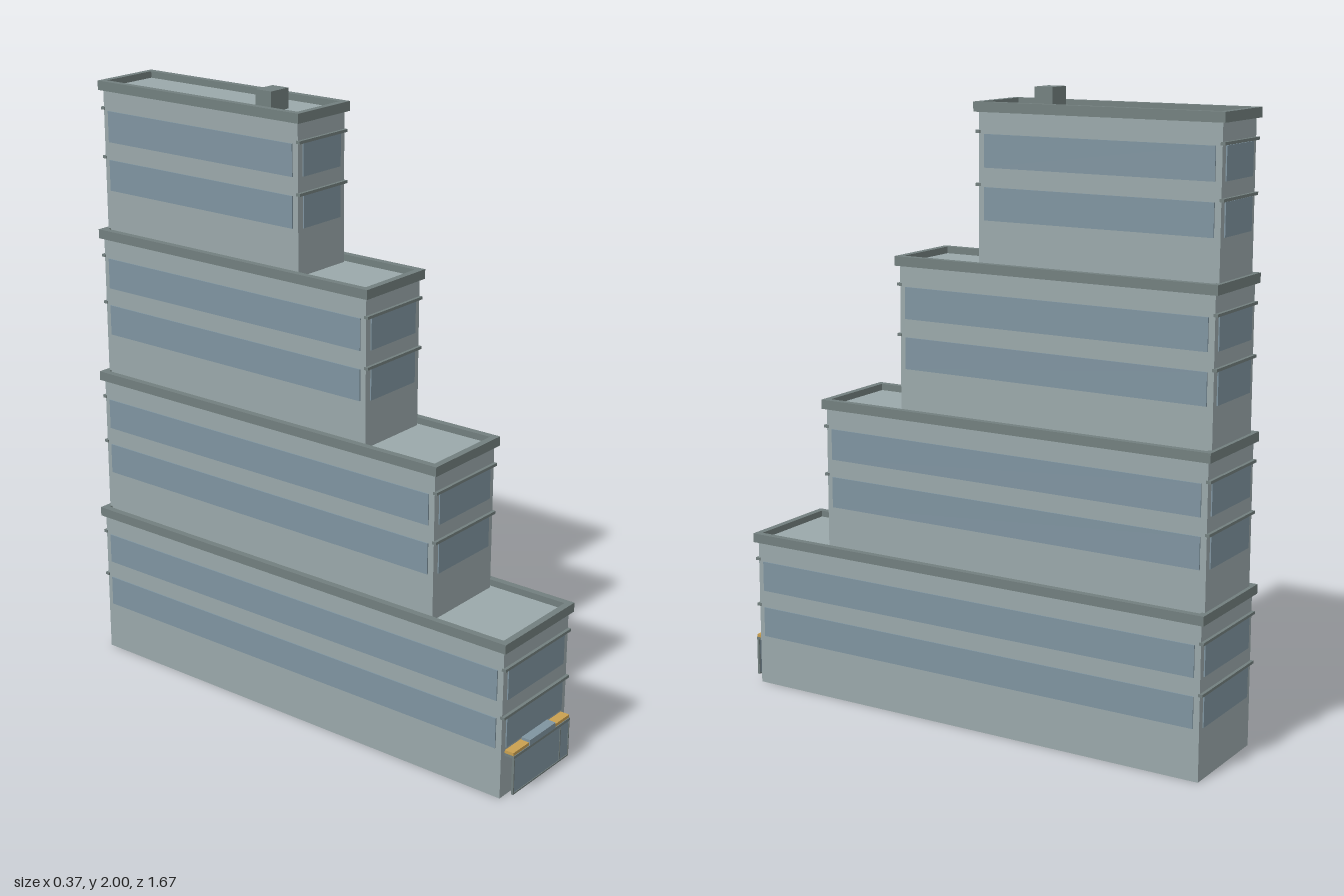
import * as THREE from 'three';

export function createModel() {
  const model = new THREE.Group();
  const mat = (color) => new THREE.MeshStandardMaterial({ color });
  const wall = mat(0x9aa8aa), trim = mat(0x727f7e), glass = mat(0x7f94a0), amber = mat(0xc9a050);

  // box given by its lower and upper limits on each axis
  const box = (parent, name, material, [x0, x1], [y0, y1], [z0, z1]) => {
    const mesh = new THREE.Mesh(new THREE.BoxGeometry(x1 - x0, y1 - y0, z1 - z0), material);
    mesh.position.set((x0 + x1) / 2, (y0 + y1) / 2, (z0 + z1) / 2);
    mesh.name = name;
    parent.add(mesh);
  };

  // open rectangular rim around a roof
  const parapet = (parent, hw, y0, y1, z0, z1, t) => {
    const s = new THREE.Shape();
    s.moveTo(-hw, -z1).lineTo(hw, -z1).lineTo(hw, -z0).lineTo(-hw, -z0).closePath();
    const h = new THREE.Path();
    h.moveTo(-hw + t, -z1 + t).lineTo(-hw + t, -z0 - t).lineTo(hw - t, -z0 - t).lineTo(hw - t, -z1 + t).closePath();
    s.holes.push(h);
    const geo = new THREE.ExtrudeGeometry(s, { depth: y1 - y0, bevelEnabled: false });
    const mesh = new THREE.Mesh(geo.rotateX(-Math.PI / 2), trim);
    mesh.position.y = y0;
    mesh.name = 'parapet';
    parent.add(mesh);
  };

  // four stepped tiers sharing one back wall
  const back = -0.823, pitch = 0.48;
  for (let i = 0; i < 4; i++) {
    const tier = new THREE.Group();
    tier.name = 'tier' + (i + 1);
    model.add(tier);
    const hw = 0.173 - 0.021 * i, front = 0.802 - 0.275 * i, y = pitch * i;
    box(tier, 'walls', wall, [-hw, hw], [i ? y + 0.015 : 0, y + 0.497], [back, front]);
    parapet(tier, hw + 0.012, y + 0.488, y + 0.518, back - 0.012, front + 0.012, 0.022);

    // two storeys of ribbon windows
    for (const w of [y + 0.165, y + 0.323]) {
      const rows = [w, w + 0.1];
      for (const s of [-1, 1]) {
        const xs = [s * (hw - 0.01), s * (hw + 0.004)].sort((a, b) => a - b);
        box(tier, 'sideWindow', glass, xs, rows, [back + 0.02, front - 0.02]);
      }
      const ww = hw - 0.022;
      box(tier, 'frontWindow', glass, [-ww, ww], rows, [front - 0.01, front + 0.004]);
      box(tier, 'backWindow', glass, [-ww, ww], rows, [back - 0.004, back + 0.01]);
      // thin ledges over the end windows
      const ledge = [w + 0.102, w + 0.111];
      box(tier, 'frontLedge', trim, [-hw - 0.003, hw + 0.003], ledge, [front - 0.005, front + 0.01]);
      box(tier, 'backLedge', trim, [-hw - 0.003, hw + 0.003], ledge, [back - 0.01, back + 0.005]);
    }
  }

  // rooftop housing
  box(model, 'roofUnit', trim, [-0.08, 0], [1.935, 2], [-0.212, -0.15]);

  // entrance: glazed screen standing ahead of the wall under a canopy
  const entrance = new THREE.Group();
  entrance.name = 'entrance';
  model.add(entrance);
  box(entrance, 'shopfrontGlass', glass, [-0.148, 0.148], [0.018, 0.138], [0.829, 0.834]);
  for (const x of [-0.152, 0.1, 0.148])
    box(entrance, 'mullion', trim, [x, x + 0.004], [0.015, 0.138], [0.828, 0.836]);
  box(entrance, 'bottomRail', trim, [-0.152, 0.152], [0.015, 0.02], [0.828, 0.836]);
  box(entrance, 'canopy', trim, [-0.153, 0.153], [0.137, 0.146], [0.8, 0.836]);
  box(entrance, 'canopyBand', amber, [-0.153, 0.153], [0.146, 0.156], [0.8, 0.833]);
  box(entrance, 'signPanel', glass, [-0.07, 0.07], [0.146, 0.165], [0.806, 0.837]);
  return model;
}
